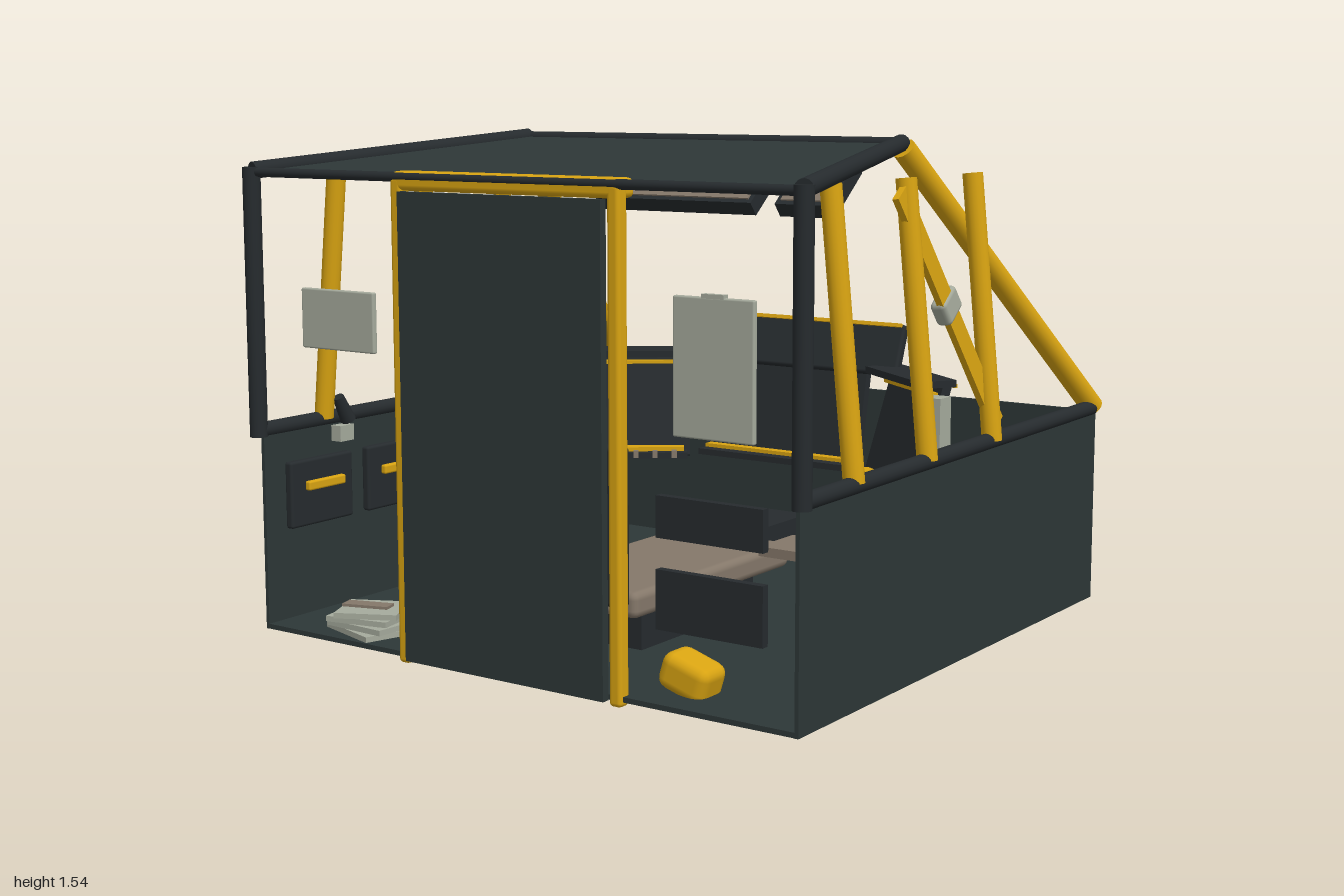
import * as THREE from 'three';
import { RoundedBoxGeometry } from 'three/addons/geometries/RoundedBoxGeometry.js';

const mat = (name, color) => Object.assign(new THREE.MeshStandardMaterial({ color }), { name });

export function createModel() {
  const model = new THREE.Group();
  const hull = mat('hull grey', 0x2d3737);
  const charcoal = mat('charcoal', 0x262b2e);
  const yellow = mat('safety yellow', 0xd9a412);
  const pale = mat('pale grey', 0xa6ab9d);
  const taupe = mat('taupe', 0x85786a);

  const add = (name, geo, m, pos = [0, 0, 0], rot = [0, 0, 0], parent = model) => {
    const mesh = new THREE.Mesh(geo, m);
    mesh.name = name;
    mesh.position.set(...pos);
    mesh.rotation.set(...rot);
    parent.add(mesh);
    return mesh;
  };
  const box = (name, size, pos, m, rot, parent) =>
    add(name, new THREE.BoxGeometry(...size), m, pos, rot, parent);
  const soft = (name, size, pos, m, rot, parent) =>
    add(name, new RoundedBoxGeometry(...size, 2, Math.min(...size) * 0.3), m, pos, rot, parent);
  // Straight tube between two points
  const tube = (name, a, b, r, m) => {
    const p = new THREE.Vector3(...a), q = new THREE.Vector3(...b);
    const dir = q.clone().sub(p);
    const mesh = add(name, new THREE.CylinderGeometry(r, r, dir.length(), 16), m, p.clone().add(q).multiplyScalar(0.5).toArray());
    mesh.quaternion.setFromUnitVectors(new THREE.Vector3(0, 1, 0), dir.normalize());
    return mesh;
  };

  // Tub: floor, side walls and back wall, open towards the front
  box('floor', [1.93, 0.015, 1.82], [0, 0.028, 0], hull);
  box('backWall', [1.93, 0.62, 0.012], [0, 0.33, -0.904], hull);

  for (const s of [1, -1]) {
    box('sideWall', [0.012, 0.62, 1.82], [s * 0.959, 0.33, 0], hull);
    // Dark frame
    tube('sideRail', [s * 0.97, 0.64, 0.91], [s * 0.955, 0.65, -0.9], 0.024, charcoal);
    tube('frontPost', [s * 0.972, 0.62, 0.912], [s * 0.972, 1.44, 0.912], 0.027, charcoal);
    tube('roofRail', [s * 0.97, 1.43, 0.91], [s * 0.7, 1.515, -0.07], 0.026, charcoal);
    // Yellow supports
    tube('rearStrut', [s * 0.71, 1.5, -0.065], [s * 0.95, 0.65, -0.915], 0.036, yellow);
    for (const z of [0.64, 0.235, -0.165])
      tube('sidePost', [s * 0.965, 0.645, z], [s * 0.885, 1.43, z], 0.03, yellow);
    // Wall lockers with handles
    for (const z of [0.69, 0.35]) {
      soft('wallLocker', [0.03, 0.21, 0.27], [s * 0.943, 0.425, z], charcoal);
      soft('lockerHandle', [0.022, 0.03, 0.16], [s * 0.915, 0.45, z], yellow);
    }
  }

  // Roof
  const roofShape = new THREE.Shape([[-0.97, 0.91], [-0.7, -0.07], [0.7, -0.07], [0.97, 0.91]].map(p => new THREE.Vector2(...p)));
  add('roof', new THREE.ExtrudeGeometry(roofShape, { depth: 0.014, bevelEnabled: false }), hull, [0, 1.51, 0], [Math.PI / 2 + 0.09, 0, 0]);
  tube('roofBackRail', [-0.71, 1.512, -0.07], [0.71, 1.512, -0.07], 0.02, charcoal);
  tube('roofFrontRail', [-0.97, 1.425, 0.91], [0.97, 1.425, 0.91], 0.014, charcoal);
  soft('ceilingLight', [0.92, 0.025, 0.11], [0, 1.425, 0.485], yellow);

  // Door and its frame
  box('door', [0.72, 1.365, 0.025], [0, 0.703, 0.928], hull);
  for (const s of [1, -1]) soft('doorPost', [0.042, 1.42, 0.045], [s * 0.385, 0.715, 0.9], yellow);
  soft('doorHeader', [0.81, 0.055, 0.08], [0, 1.414, 0.882], yellow);

  // Crossed brace on one side wall
  const brace = new THREE.Group();
  brace.name = 'brace';
  brace.position.set(0.92, 1.04, 0.03);
  brace.rotation.z = 0.08;
  model.add(brace);
  box('braceBar', [0.02, 0.87, 0.065], [0, 0, 0], yellow, [0.62, 0, 0], brace);
  soft('braceClamp', [0.05, 0.08, 0.1], [-0.01, 0.02, 0], pale, [0.62, 0, 0], brace);

  // Overhead monitors
  for (const [x, w] of [[0, 0.58], [0.47, 0.19]]) {
    const monitor = new THREE.Group();
    monitor.name = 'overheadMonitor';
    monitor.position.set(x, 1.38, 0.015);
    monitor.rotation.x = 0.69;
    model.add(monitor);
    box('monitorCase', [w, 0.05, 0.2], [0, 0, 0], charcoal, [0, 0, 0], monitor);
    box('monitorScreen', [w - 0.03, 0.006, 0.17], [0, 0.027, 0], taupe, [0, 0, 0], monitor);
    tube('monitorArm', [x, 1.36, -0.045], [x, 1.5, -0.07], 0.01, taupe);
  }

  // Central console
  soft('consoleScreen', [0.88, 0.17, 0.035], [0, 0.83, -0.57], charcoal, [-0.37, 0, 0]);
  box('consoleScreenTrim', [0.86, 0.012, 0.045], [0, 0.905, -0.595], yellow, [-0.37, 0, 0]);
  box('consoleBase', [0.54, 0.36, 0.03], [0, 0.59, -0.62], charcoal, [-0.2, 0, 0]);
  box('consoleBaseTrim', [0.54, 0.014, 0.045], [0, 0.767, -0.657], yellow, [-0.2, 0, 0]);
  box('consoleDesk', [0.6, 0.02, 0.1], [0, 0.44, -0.53], charcoal);
  box('consoleDeskTrim', [0.6, 0.012, 0.035], [0, 0.456, -0.54], yellow);
  for (const s of [1, -1]) {
    const wing = new THREE.Group();
    wing.name = 'consoleWing';
    wing.position.set(s * 0.56, 0, -0.475);
    wing.rotation.y = -s * 0.62;
    model.add(wing);
    box('wingPanel', [0.37, 0.36, 0.03], [0, 0.59, 0.05], charcoal, [-0.28, 0, 0], wing);
    box('wingHood', [0.39, 0.022, 0.13], [0, 0.77, 0.04], charcoal, [0, 0, 0], wing);
    box('wingTrim', [0.35, 0.012, 0.02], [0, 0.735, 0.038], yellow, [0, 0, 0], wing);
    box('wingBackTrim', [0.36, 0.012, 0.012], [0, 0.76, -0.03], yellow, [0, 0, 0], wing);
    box('wingTray', [0.35, 0.02, 0.1], [0, 0.43, 0.13], charcoal, [0, 0, 0], wing);
    box('wingTrayTrim', [0.33, 0.014, 0.06], [0, 0.447, 0.12], yellow, [0, 0, 0], wing);
    for (let i = 0; i < 5; i++)
      box('wingKey', [0.018, 0.025, 0.02], [-0.13 + i * 0.065, 0.437, 0.185], taupe, [0, 0, 0], wing);
    soft('armRest', [0.1, 0.035, 0.2], [s * 0.65, 0.48, -0.1], charcoal);
  }
  box('consolePedestal', [0.22, 0.12, 0.28], [0, 0.2, -0.39], charcoal);
  box('pedestalTrim', [0.2, 0.012, 0.02], [0, 0.262, -0.262], yellow);

  // Reclining seat facing the console
  soft('seatCushion', [0.43, 0.08, 0.84], [0, 0.19, 0.17], taupe);
  box('seatBase', [0.34, 0.12, 0.6], [0, 0.095, 0.2], charcoal);
  soft('seatBack', [0.42, 0.47, 0.05], [0, 0.43, 0.63], charcoal);
  for (let i = 0; i < 5; i++) soft('backSlat', [0.33, 0.04, 0.025], [0, 0.27 + i * 0.08, 0.597], taupe);
  box('sideShelf', [0.25, 0.03, 0.2], [0.425, 0.27, -0.03], taupe);

  // Boards and switch panels in the front plane
  soft('smallBoard', [0.29, 0.18, 0.018], [-0.655, 0.995, 0.88], pale);
  box('smallBoardHandle', [0.16, 0.02, 0.03], [-0.655, 1.005, 0.855], yellow, [0, 0, 0.35]);
  soft('tallBoard', [0.255, 0.375, 0.018], [0.683, 0.953, 0.88], pale);
  for (let i = 0; i < 5; i++) box('boardLine', [0.2, 0.03, 0.006], [0.683, 0.82 + i * 0.066, 0.869], charcoal);
  box('boardClip', [0.07, 0.012, 0.02], [0.683, 1.143, 0.88], pale);
  box('upperSwitchPanel', [0.34, 0.115, 0.025], [0.68, 0.548, 0.89], charcoal);
  box('lowerSwitchPanel', [0.34, 0.165, 0.025], [0.68, 0.322, 0.89], charcoal);
  for (let i = 0; i < 6; i++) {
    const x = 0.55 + i * 0.052;
    box('toggle', [0.016, 0.06, 0.02], [x, 0.548, 0.87], taupe);
    for (const y of [0.285, 0.36])
      add('knob', new THREE.CylinderGeometry(0.014, 0.014, 0.025, 10), yellow, [x, y, 0.868], [Math.PI / 2, 0, 0]);
  }

  // Loose items
  for (let i = 0; i < 4; i++)
    box('book', [0.24 - i * 0.015, 0.017, 0.17], [-0.64 + (i % 2) * 0.012, 0.045 + i * 0.019, 0.79], pale, [0, i * 0.25 - 0.3, 0]);
  box('topBook', [0.15, 0.012, 0.05], [-0.65, 0.113, 0.79], taupe, [0, 0.3, 0]);
  soft('toolCase', [0.16, 0.11, 0.12], [0.53, 0.082, 0.76], yellow, [0, 0, -0.3]);
  add('canister', new THREE.CylinderGeometry(0.038, 0.038, 0.22, 16), taupe, [0.793, 0.14, 0.3]);
  box('greyUnit', [0.06, 0.27, 0.07], [0.72, 0.605, -0.28], pale);
  box('wallSocket', [0.04, 0.05, 0.06], [-0.925, 0.595, 0.6], pale);
  add('lever', new THREE.CylinderGeometry(0.018, 0.025, 0.09, 10), charcoal, [-0.93, 0.67, 0.59], [0.5, 0, 0]);
  return model;
}
